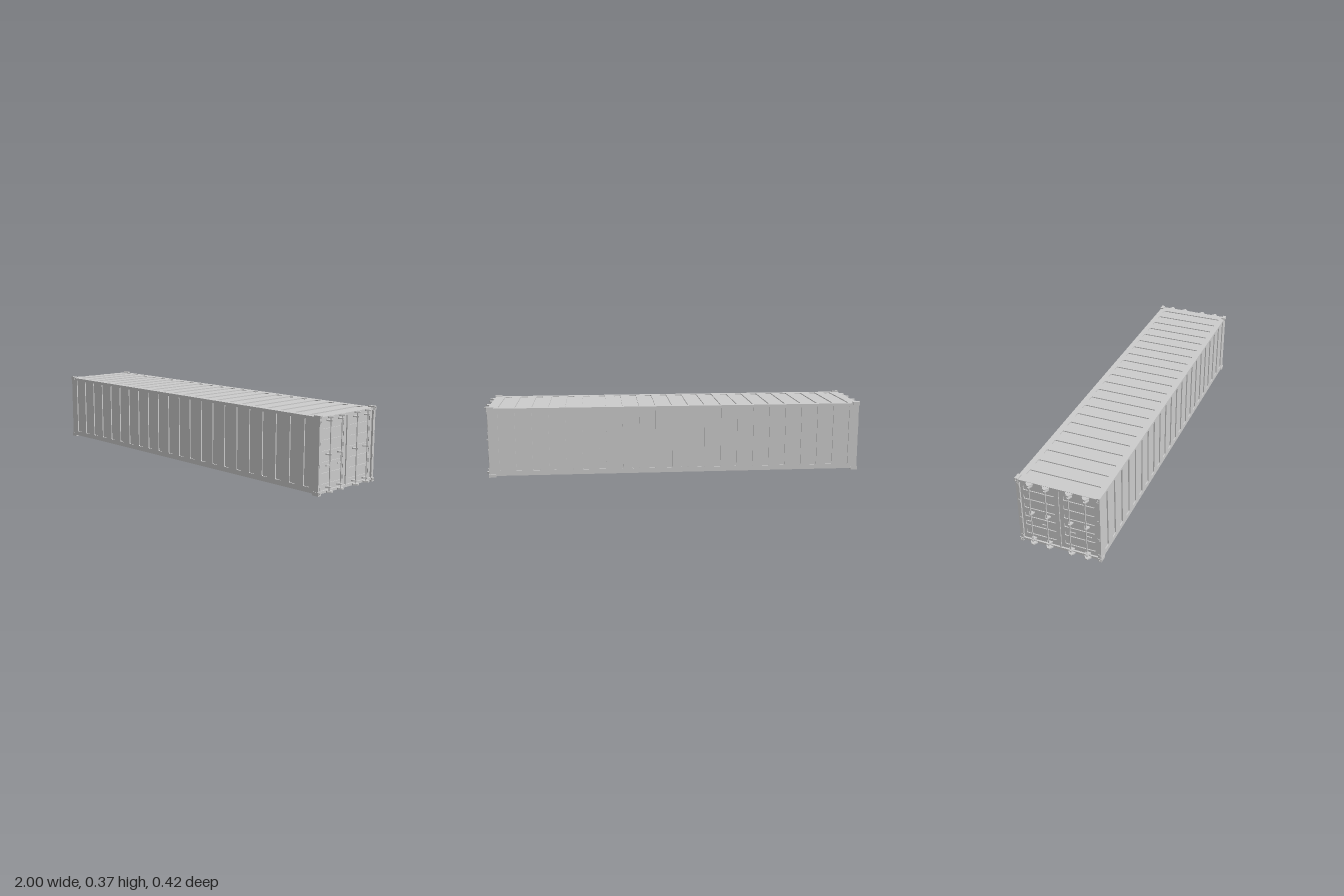
import * as THREE from 'three';

const material = new THREE.MeshStandardMaterial({ color: 0xcccccc, flatShading: true });

function add(parent, name, geometry, x = 0, y = 0, z = 0) {
  const mesh = new THREE.Mesh(geometry, material);
  mesh.name = name;
  mesh.position.set(x, y, z);
  parent.add(mesh);
  return mesh;
}

const box = (w, h, d) => new THREE.BoxGeometry(w, h, d);

// Rectangle outline with slightly cut corners
function rect(path, cx, cy, w, h, c = 0) {
  const a = w / 2, b = h / 2;
  const pts = c
    ? [[-a + c, -b], [a - c, -b], [a, -b + c], [a, b - c], [a - c, b], [-a + c, b], [-a, b - c], [-a, -b + c]]
    : [[-a, -b], [a, -b], [a, b], [-a, b]];
  path.setFromPoints(pts.map(([x, y]) => new THREE.Vector2(cx + x, cy + y)));
  return path;
}

// Sheet with openings [cx, cy, w, h, corner]; outer face at z = 0
function sheet(w, h, depth, holes) {
  const shape = rect(new THREE.Shape(), 0, 0, w, h);
  holes.forEach(o => shape.holes.push(rect(new THREE.Path(), ...o)));
  return new THREE.ExtrudeGeometry(shape, { depth, bevelEnabled: false }).translate(0, 0, -depth);
}

// Clamp with tapered plan, reaching outward along z
function clampGeometry(w, h, reach) {
  const s = new THREE.Shape();
  s.moveTo(-w / 2, 0);
  s.lineTo(w / 2, 0);
  s.lineTo(w / 2, reach * 0.25);
  s.lineTo(w * 0.14, reach);
  s.lineTo(-w * 0.14, reach);
  s.lineTo(-w / 2, reach * 0.25);
  s.closePath();
  return new THREE.ExtrudeGeometry(s, { depth: h, bevelEnabled: false })
    .rotateX(Math.PI / 2).translate(0, h / 2, 0);
}

const MID = 0.1855, HEIGHT = 0.355, HALF_W = 0.209, END = 0.977, DOOR = 0.968;

// One door end, facing local +z
function createDoorEnd() {
  const end = new THREE.Group();
  add(end, 'doorFrame', sheet(HALF_W * 2, HEIGHT, 0.009, [[0.001, 0.0005, 0.385, 0.332]]), 0, MID, END);

  // Door leaves with recessed panels
  const panels = [];
  for (let i = 0; i < 6; i++) {
    panels.push([-0.0995, 0.316 - i * 0.0513 - MID, 0.157, 0.0225, 0.002]);
    panels.push([0.1015, 0.312 - i * 0.0513 - MID, 0.154, 0.0225, 0.002]);
  }
  add(end, 'doors', sheet(0.39, 0.338, 0.006, panels), 0, MID, DOOR);
  add(end, 'centreSeal', box(0.008, 0.332, 0.008), 0, MID, DOOR + 0.002);

  // Locking rods with clamps and handles
  const cam = clampGeometry(0.034, 0.007, 1 - END);
  [-0.138, -0.056, 0.059, 0.141].forEach(u => {
    const left = u < 0;
    add(end, 'lockingRod', new THREE.CylinderGeometry(0.0033, 0.0033, 0.352, 8), u, MID, 0.985);
    [0.358, 0.0125].forEach(y => add(end, 'rodCam', cam, u + 0.002, y, END));
    (left ? [0.342, 0.186, 0.033] : [0.337, 0.185, 0.029]).forEach(y =>
      add(end, 'rodBracket', clampGeometry(0.025, 0.006, 0.027), u, y, DOOR - 0.001));
    add(end, 'handle', box(0.026, 0.006, 0.005), u + (left ? -0.014 : 0.014), 0.137, 0.984);
  });

  // Hinges
  [0.337, 0.243, 0.138, 0.033].forEach(y => add(end, 'hinge', box(0.011, 0.014, 0.012), -0.1975, y, 0.974));
  [0.339, 0.233, 0.129, 0.034].forEach(y => add(end, 'hinge', box(0.011, 0.014, 0.012), 0.199, y, 0.974));

  // Corner castings with a socket in the end face
  for (const u of [-0.203, 0.203]) for (const y of [0.009, 0.361]) {
    add(end, 'cornerCasting', box(0.018, 0.018, 0.032), u, y, 0.96);
    add(end, 'cornerSocket', sheet(0.018, 0.018, 0.005, [[0, 0, 0.008, 0.009, 0.002]]), u, y, 0.981);
  }
  return end;
}

export function createModel() {
  const model = new THREE.Group();
  model.name = 'shippingContainer';

  // Inner body forms the floor of every groove
  add(model, 'body', box(1.926, 0.345, 0.406), 0, MID, 0);

  // Long walls, roof and underside with rows of grooves
  const grooves = (h, y) => Array.from({ length: 22 }, (_, i) => [(i - 10.5) * 0.0864, y, 0.038, h, 0.004]);
  const wall = sheet(DOOR * 2, HEIGHT - 0.01, 0.006, grooves(0.319, 0.007));
  add(model, 'frontWall', wall, 0, MID, HALF_W);
  add(model, 'backWall', wall, 0, MID, -HALF_W).rotation.y = Math.PI;
  const deck = sheet(DOOR * 2, HALF_W * 2, 0.005, grooves(0.36, 0));
  add(model, 'roof', deck, 0, MID + HEIGHT / 2, 0).rotation.x = -Math.PI / 2;
  add(model, 'underside', deck, 0, MID - HEIGHT / 2, 0).rotation.x = Math.PI / 2;

  // Doors at both ends
  [1, -1].forEach(side => {
    const end = createDoorEnd();
    end.name = side > 0 ? 'leftDoorEnd' : 'rightDoorEnd';
    end.rotation.y = side * Math.PI / 2;
    model.add(end);
  });
  return model;
}
